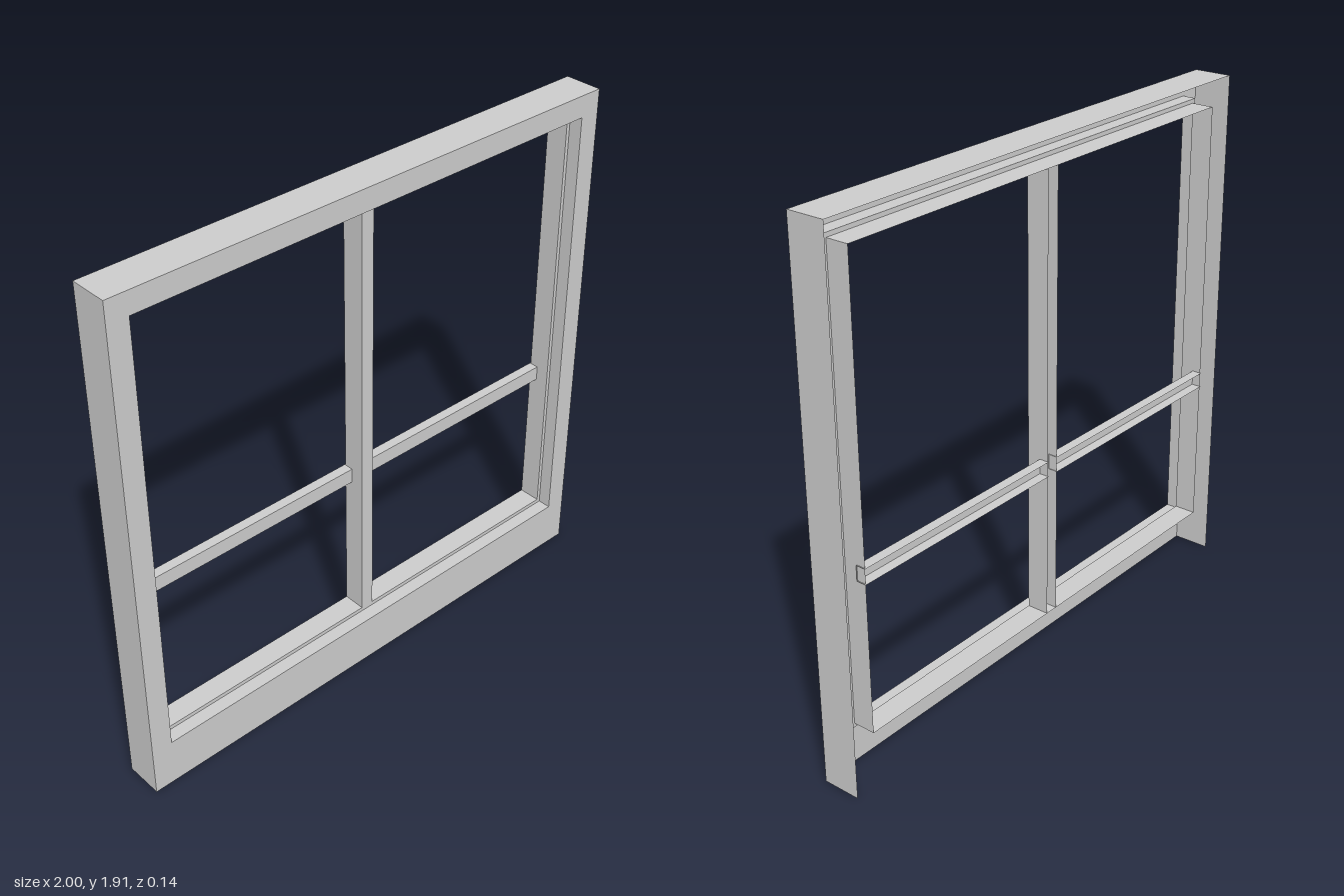
import * as THREE from 'three';

const material = new THREE.MeshStandardMaterial({
  color: 0xcccccc, flatShading: true, side: THREE.DoubleSide,
});

// Mesh from a list of quads, each given as four corners [x, y, z]
function quadMesh(name, quads) {
  const positions = quads.flatMap(([a, b, c, d]) => [a, b, c, a, c, d]).flat();
  const geometry = new THREE.BufferGeometry();
  geometry.setAttribute('position', new THREE.Float32BufferAttribute(positions, 3));
  geometry.computeVertexNormals();
  const mesh = new THREE.Mesh(geometry, material);
  mesh.name = name;
  return mesh;
}

// Corners of an upright rectangle, counter-clockwise from the lower left
const rectangle = (halfWidth, low, high, z) => [
  [-halfWidth, low, z], [halfWidth, low, z], [halfWidth, high, z], [-halfWidth, high, z],
];

// Quads joining two rectangles; side 0 is the bottom
const band = (a, b, sides = [0, 1, 2, 3]) => sides.map((i) => {
  const j = (i + 1) % 4;
  return [a[i], a[j], b[j], b[i]];
});

// Upright U-shaped channel, open at the back and at both ends
function channel(name, width, length, front, back) {
  const w = width / 2, h = length / 2;
  const profile = [[-w, back], [-w, front], [w, front], [w, back]];
  const quads = [0, 1, 2].map((i) => {
    const [x0, z0] = profile[i], [x1, z1] = profile[i + 1];
    return [[x0, -h, z0], [x1, -h, z1], [x1, h, z1], [x0, h, z0]];
  });
  return quadMesh(name, quads);
}

export function createModel() {
  const group = new THREE.Group();
  group.name = 'window';

  const outerBack = rectangle(1, 0, 1.91, -0.07);
  const outerFront = rectangle(1, 0, 1.91, 0.07);
  const openingFront = rectangle(0.922, 0.18, 1.83, 0.07);
  const openingBack = rectangle(0.922, 0.18, 1.83, 0.02);
  const sashFront = rectangle(0.908, 0.195, 1.815, 0.02);
  const sashBack = rectangle(0.908, 0.195, 1.815, -0.063);

  // Outer casing: sides and top only, open at the bottom and back
  group.add(quadMesh('casing', band(outerBack, outerFront, [1, 2, 3])));
  // Flat front face and the return of its opening
  group.add(quadMesh('frontFrame', [
    ...band(outerFront, openingFront), ...band(openingFront, openingBack),
  ]));
  // Stepped inner frame running to the back
  group.add(quadMesh('innerFrame', [
    ...band(openingBack, sashFront), ...band(sashFront, sashBack),
  ]));

  // Upright dividing bar
  const mullion = channel('mullion', 0.05, 1.62, 0.02, -0.063);
  mullion.position.y = 1.005;
  group.add(mullion);

  // Crossbar on each side of the mullion, set back from it
  for (const side of [-1, 1]) {
    const bar = channel(side > 0 ? 'leftCrossbar' : 'rightCrossbar', 0.055, 0.89, -0.03, -0.067);
    bar.rotation.z = Math.PI / 2;
    bar.position.set(side * 0.467, 0.767, 0);
    group.add(bar);
  }
  return group;
}
